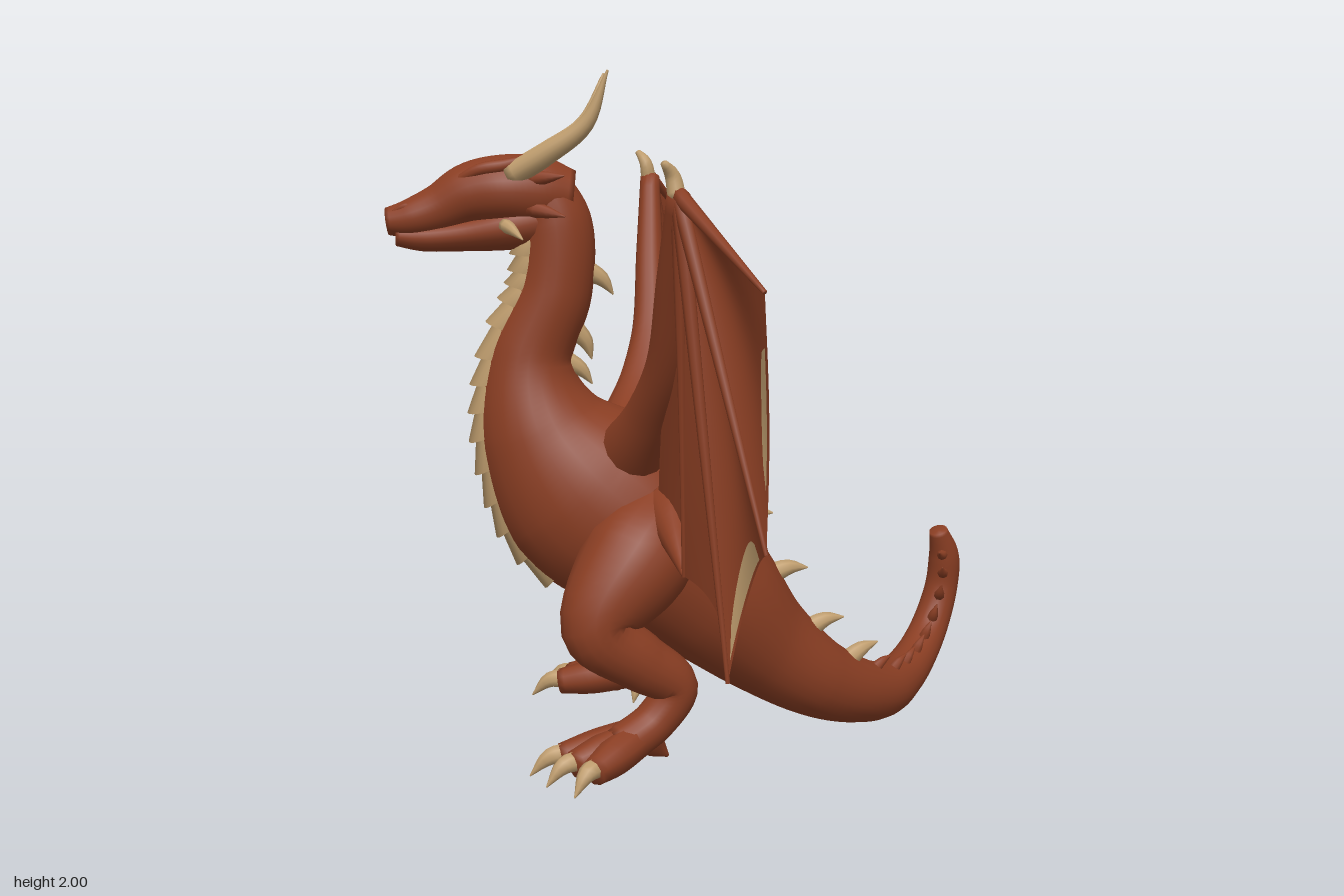
import * as THREE from 'three';

const hide = new THREE.MeshStandardMaterial({ color: 0x8a3e23, side: THREE.DoubleSide });
hide.name = 'rust hide';
const horn = new THREE.MeshStandardMaterial({ color: 0xbf9d6e, side: THREE.DoubleSide });
horn.name = 'tan horn';

const V = (x, y, z) => new THREE.Vector3(x, y, z);

// Twist-free frames along a spline; each point is [x, y, z, halfWidth, halfDepth]
function framesOf(pts, per) {
  const curve = new THREE.CatmullRomCurve3(pts.map(p => V(p[0], p[1], p[2])));
  const radii = new THREE.CatmullRomCurve3(pts.map(p => V(p[3], p[4] ?? p[3], 0)), false, 'catmullrom', 0.5);
  const n = (pts.length - 1) * per, out = [];
  let side = null;
  for (let i = 0; i <= n; i++) {
    const t = curve.getTangent(i / n), r = radii.getPoint(i / n);
    if (!side) side = Math.abs(t.x) > 0.9 ? V(0, 0, 1) : V(1, 0, 0);
    side = side.clone().addScaledVector(t, -side.dot(t)).normalize();
    out.push({
      c: curve.getPoint(i / n), t, side, up: side.clone().cross(t),
      rx: Math.max(r.x, 0.001), ry: Math.max(r.y, 0.001)
    });
  }
  return out;
}

function geometryFrom(pos, index) {
  const g = new THREE.BufferGeometry();
  g.setAttribute('position', new THREE.Float32BufferAttribute(pos, 3));
  g.setIndex(index);
  g.computeVertexNormals();
  return g;
}

// Closed rounded skin around a list of frames
function skin(frames, sides) {
  const first = { ...frames[0], rx: 0, ry: 0 };
  const last = { ...frames[frames.length - 1], rx: 0, ry: 0 };
  const rings = [first, ...frames, last], pos = [], index = [];
  rings.forEach((f, i) => {
    for (let j = 0; j < sides; j++) {
      const a = j / sides * Math.PI * 2;
      const p = f.c.clone().addScaledVector(f.side, f.rx * Math.cos(a)).addScaledVector(f.up, f.ry * Math.sin(a));
      pos.push(p.x, p.y, p.z);
      if (i === rings.length - 1) continue;
      const k = (j + 1) % sides, a0 = i * sides, b0 = a0 + sides;
      index.push(a0 + j, b0 + j, a0 + k, a0 + k, b0 + j, b0 + k);
    }
  });
  return geometryFrom(pos, index);
}

// Row of overlapping plates on the underside of the spine, each lip flaring over the next
function plates(spine, start, count, step, halfFrom, halfTo, flare) {
  const pos = [], index = [], cols = 12;
  let row = 0;
  for (let s = 0; s < count; s++) {
    for (let e = 0; e < 2; e++, row++) {
      const f = spine[start + (s + e) * step], half = halfFrom + (halfTo - halfFrom) * (s + e) / count;
      for (let j = 0; j <= cols; j++) {
        const u = j / cols * 2 - 1, a = u * half;
        const off = (e ? flare : 0.006) * (1 - u ** 4) - 0.002 * u ** 4;
        const p = f.c.clone().addScaledVector(f.up, -Math.cos(a) * (f.ry + off))
          .addScaledVector(f.side, Math.sin(a) * (f.rx + off));
        pos.push(p.x, p.y, p.z);
        if (row && j < cols) {
          const b = row * (cols + 1) + j, t = b - cols - 1;
          index.push(t, t + 1, b, b, t + 1, b + 1);
        }
      }
    }
  }
  return geometryFrom(pos, index);
}

export function createModel() {
  const model = new THREE.Group();
  model.name = 'dragon';
  const body = new THREE.Group();
  body.name = 'turnedBody';
  body.position.set(-0.015, 0, 0.245);
  body.rotation.y = -0.963;
  model.add(body);

  const add = (name, geo, mat) => {
    const m = new THREE.Mesh(geo, mat);
    m.name = name;
    body.add(m);
  };
  const loft = (name, pts, mat, per = 6, sides = 14) => add(name, skin(framesOf(pts, per), sides), mat);

  // Neck, trunk and curling tail in one sweep
  const spine = framesOf([
    [0, 1.69, 0.33, 0.085, 0.08], [0, 1.58, 0.29, 0.1, 0.102], [0, 1.4, 0.3, 0.11, 0.11],
    [0, 1.2, 0.372, 0.122, 0.125], [0, 1.02, 0.345, 0.178, 0.185], [0, 0.84, 0.225, 0.24, 0.268],
    [0, 0.68, 0.035, 0.25, 0.255], [-0.01, 0.5, -0.148, 0.2, 0.21], [-0.054, 0.34, -0.299, 0.16],
    [-0.098, 0.21, -0.463, 0.125], [-0.181, 0.13, -0.606, 0.102], [-0.287, 0.09, -0.716, 0.088],
    [-0.41, 0.09, -0.802, 0.076], [-0.519, 0.125, -0.876, 0.067], [-0.602, 0.2, -0.94, 0.06],
    [-0.637, 0.32, -0.983, 0.054], [-0.628, 0.43, -0.988, 0.05], [-0.6, 0.525, -0.96, 0.03]
  ], 10);
  add('neckBodyTail', skin(spine, 24), hide);
  add('bellyScales', plates(spine, 12, 14, 3, 0.82, 0.34, 0.028), horn);
  add('tailTipPlate', plates(spine, 153, 1, 9, 0.5, 0.5, 0.006), horn);

  // Spikes along the back: tan ones first, small hide-coloured ones on the tail
  const spike = (k, h, mat) => {
    const f = spine[Math.round(k * 10)];
    const at = (u, t) => f.c.clone().addScaledVector(f.up, f.ry + u * h).addScaledVector(f.t, t * h).toArray();
    loft('backSpike', [[...at(-0.3, -0.1), h * 0.42], [...at(0.35, 0.2), h * 0.3], [...at(0.85, 0.75), 0.002]], mat, 3, 8);
  };
  [1.7, 2.4, 3].forEach(k => spike(k, 0.07, horn));
  [5.8, 6.6, 7.4, 8.5, 9.5].forEach(k => spike(k, 0.078, horn));
  for (let k = 10.3; k < 16.8; k += 0.75) spike(k, 0.046, hide);

  // Head
  loft('skull', [
    [0, 1.66, 0.24, 0.07, 0.07], [0, 1.67, 0.33, 0.102, 0.1], [0, 1.675, 0.43, 0.114, 0.1],
    [0, 1.665, 0.52, 0.096, 0.09], [0, 1.625, 0.61, 0.072, 0.07], [0, 1.6, 0.69, 0.062, 0.055],
    [0, 1.592, 0.755, 0.044, 0.038]
  ], hide, 6, 20);
  loft('lowerJaw', [
    [0, 1.6, 0.3, 0.08, 0.07], [0, 1.575, 0.42, 0.095, 0.064], [0, 1.555, 0.55, 0.072, 0.047],
    [0, 1.547, 0.66, 0.055, 0.038], [0, 1.552, 0.73, 0.04, 0.028]
  ], hide, 6, 16);

  for (const m of [1, -1]) {
    const pair = (name, pts, mat, per, sides) =>
      loft(name, pts.map(p => [p[0] * m, ...p.slice(1)]), mat, per, sides);

    // Horns, brows, nostrils and cheek spikes
    pair('horn', [[0.075, 1.72, 0.41, 0.034], [0.12, 1.78, 0.31, 0.031], [0.158, 1.86, 0.205, 0.022], [0.18, 2, 0.147, 0.003]], horn);
    pair('brow', [[0.045, 1.69, 0.58, 0.01], [0.073, 1.733, 0.5, 0.018], [0.083, 1.748, 0.42, 0.018], [0.095, 1.775, 0.35, 0.002]], hide, 5, 10);
    pair('nostril', [[0.03, 1.632, 0.67, 0.008], [0.034, 1.634, 0.7, 0.011], [0.032, 1.62, 0.735, 0.006]], hide, 4, 8);
    pair('cheekSpike', [[0.08, 1.585, 0.43, 0.02], [0.11, 1.575, 0.41, 0.016], [0.15, 1.55, 0.38, 0.002]], horn, 3, 8);
    [[1.71, 1.72], [1.63, 1.61]].forEach(([y, tip]) =>
      pair('headSpike', [[0.075, y, 0.36, 0.025], [0.1, (y + tip) / 2, 0.31, 0.016], [0.118, tip, 0.265, 0.002]], hide, 3, 8));

    // Leg, heel and toes
    pair('leg', [
      [0.12, 0.76, 0, 0.14], [0.22, 0.66, 0.09, 0.155], [0.31, 0.5, 0.195, 0.1], [0.285, 0.4, 0.085, 0.084],
      [0.255, 0.31, -0.02, 0.066], [0.27, 0.22, 0.035, 0.06], [0.32, 0.16, 0.14, 0.06]
    ], hide, 7, 18);
    pair('heel', [[0.275, 0.19, 0.07, 0.055], [0.262, 0.145, 0.04, 0.038], [0.255, 0.108, 0.0, 0.005]], hide, 4, 10);
    pair('dewclaw', [[0.25, 0.15, 0.06, 0.022], [0.22, 0.14, 0.065, 0.018], [0.205, 0.1, 0.075, 0.002]], horn, 3, 8);
    for (const [tx, tz] of [[0.33, 0.385], [0.415, 0.34], [0.495, 0.265]]) {
      const at = (k, y, r) => [0.285 + (tx - 0.285) * k, y, 0.08 + (tz - 0.08) * k, r];
      pair('toe', [at(0, 0.18, 0.055), at(0.4, 0.155, 0.053), at(0.72, 0.138, 0.038)], hide, 5, 10);
      pair('toeClaw', [at(0.62, 0.148, 0.03), at(0.82, 0.142, 0.025), at(1, 0.092, 0.002)], horn, 4, 8);
    }

    // Wing arm, flank fold and wrist claw
    const wrist = [0.608, 1.69, -0.009];
    pair('wingArm', [
      [0.05, 0.9, 0.1, 0.13], [0.16, 0.985, 0.08, 0.09], [0.26, 1.09, 0.045, 0.065],
      [0.37, 1.235, 0.01, 0.052], [0.49, 1.46, 0, 0.042], [...wrist, 0.03]
    ], hide, 6, 14);
    pair('flankFold', [
      [0.08, 0.78, -0.01, 0.13, 0.11], [0.2, 0.8, -0.02, 0.09, 0.08],
      [0.32, 0.765, -0.02, 0.05, 0.05], [0.48, 0.695, -0.03, 0.008, 0.01]
    ], hide, 6, 14);
    pair('wristClaw', [[0.605, 1.68, -0.005, 0.024], [0.6, 1.735, 0.005, 0.02], [0.622, 1.768, 0.028, 0.009]], horn, 4, 10);

    // Wing membrane fanned out from the wrist between the finger tips
    const tips = [
      [0.905, 1.48, -0.185], [0.885, 0.85, -0.195], [0.728, 0.48, -0.12],
      [0.48, 0.69, -0.03], [0.2, 0.82, 0.02], [0.34, 1.15, 0.015]
    ];
    const dips = [[0.865, 1.15, -0.18], [0.74, 0.8, -0.15], [0.67, 0.68, -0.09], [0.35, 0.7, -0.01], [0.27, 0.98, 0.02]];
    const billow = [0.035, 0.035, 0.045, 0.045, 0];
    const w = V(...wrist);
    const panelPoint = (s, u, v) => {
      const end = new THREE.QuadraticBezierCurve3(V(...tips[s]), V(...dips[s]), V(...tips[s + 1])).getPoint(u);
      const p = w.clone().lerp(end, v);
      p.z -= billow[s] * Math.sin(Math.PI * u) * Math.sin(Math.PI * v * 0.85);
      return p;
    };
    // Grid over u0..u1, from the inner limit vIn(k) out to the rim
    const panel = (name, s, u0, u1, vIn, lift, mat) => {
      const pos = [], index = [], n = 12, rows = 8;
      for (let i = 0; i <= n; i++) {
        for (let r = 0; r <= rows; r++) {
          const v = THREE.MathUtils.lerp(vIn(i / n), 1, r / rows);
          const p = panelPoint(s, THREE.MathUtils.lerp(u0, u1, i / n), v);
          pos.push(p.x * m, p.y, p.z + lift);
          if (i === n || r === rows) continue;
          const a = i * (rows + 1) + r, b = a + rows + 1;
          index.push(...(m > 0 ? [a, b, a + 1, b, b + 1, a + 1] : [a, a + 1, b, b, a + 1, b + 1]));
        }
      }
      add(name, geometryFrom(pos, index), mat);
    };
    dips.forEach((_, s) => panel('wingMembrane', s, 0, 1, () => 0, 0, hide));

    // Pale worn rims on the front of the wing only
    const taper = depth => k => 1 - depth * Math.sqrt(Math.sin(Math.PI * k)) - 0.002;
    if (m > 0) panel('paleOuterRim', 0, 0.2, 0.75, taper(0.1), 0.006, horn);
    panel('paleLowerRim', 1, 0.15, m > 0 ? 0.9 : 0.6, taper(0.095), 0.006, horn);

    // Finger bones
    tips.slice(0, 4).forEach((t, i) => {
      const mid = w.clone().lerp(V(...t), 0.5);
      pair('wingFinger', [[...wrist, 0.022], [mid.x, mid.y, mid.z, i < 3 ? 0.014 : 0.01], [...t, 0.006]], hide, 6, 8);
    });
  }
  return model;
}
